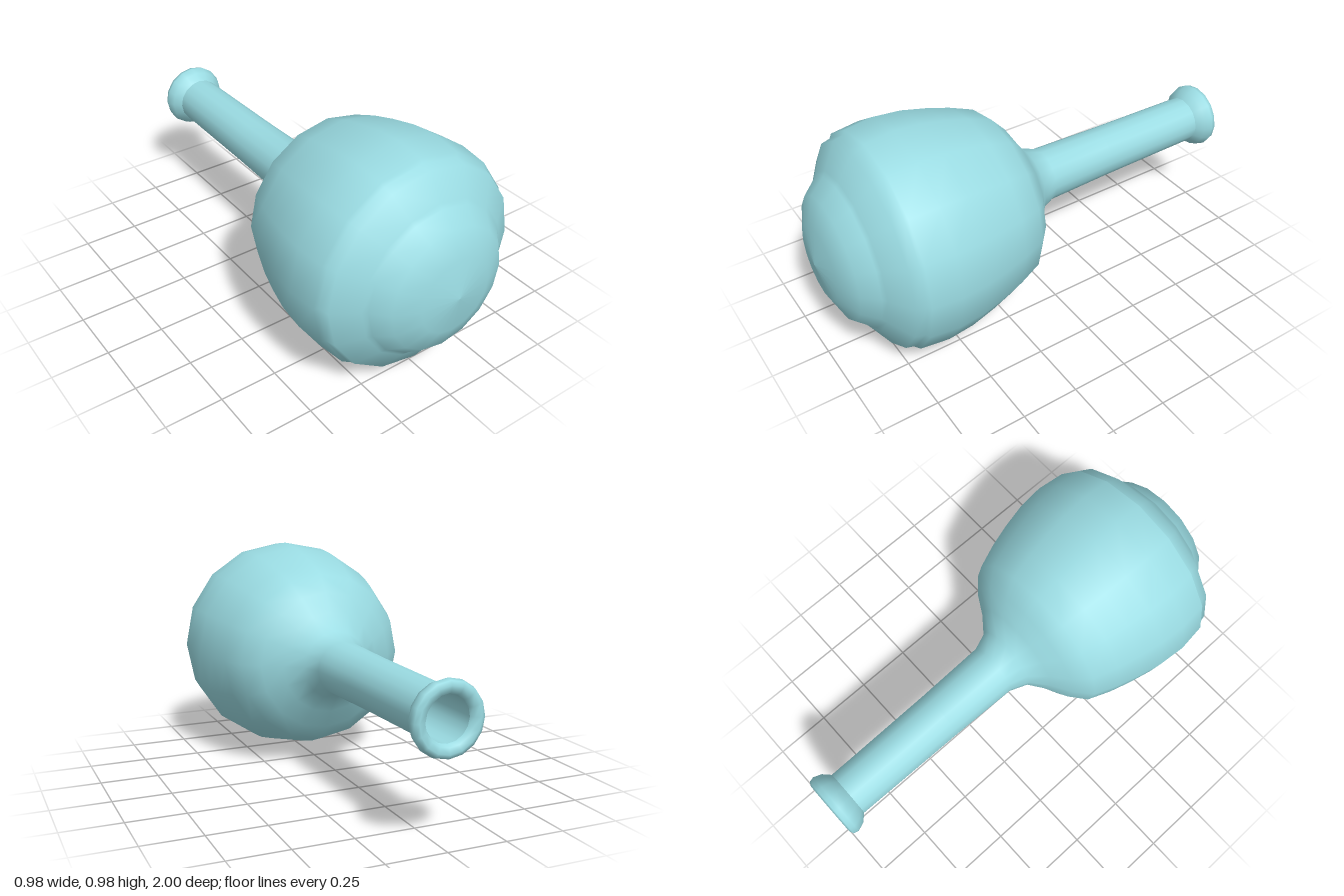
import * as THREE from 'three';

const SIDES = 16;
const AXIS_HEIGHT = 0.49;

// Revolves [radius, z] pairs about the long axis; the neck points to -z.
function revolve(name, profile, material) {
  const points = profile.map(([r, z]) => new THREE.Vector2(r, -z));
  const geometry = new THREE.LatheGeometry(points, SIDES);
  geometry.rotateX(-Math.PI / 2);
  const mesh = new THREE.Mesh(geometry, material);
  mesh.name = name;
  return mesh;
}

export function createModel() {
  const glass = new THREE.MeshStandardMaterial({ color: 0x9adbe2 });
  glass.name = 'paleBlueGlass';

  const flask = new THREE.Group();
  flask.name = 'flask';
  flask.position.y = AXIS_HEIGHT;

  // Rounded bottom, stepped shoulder, bulb and tapering neck
  const outer = [
    [0, 0.995], [0.165, 0.972], [0.27, 0.927], [0.325, 0.862], [0.345, 0.848],
    [0.447, 0.782], [0.457, 0.738], [0.474, 0.728], [0.488, 0.6],
    [0.477, 0.48], [0.452, 0.37], [0.423, 0.27], [0.382, 0.165],
    [0.31, 0.1], [0.225, 0.05], [0.15, -0.01], [0.119, -0.09],
    [0.111, -0.4], [0.105, -0.905],
  ];
  flask.add(revolve('bulbAndNeck', outer, glass));

  // Flared lip turning in to the mouth
  const lip = [
    [0.105, -0.905], [0.135, -0.935], [0.148, -0.97], [0.142, -0.992],
    [0.125, -1], [0.1, -0.995], [0.09, -0.975],
  ];
  flask.add(revolve('lip', lip, glass));

  // Hollow inside, running from the mouth to the bottom
  const inner = [
    [0.09, -0.975], [0.095, -0.4], [0.105, -0.09], [0.135, 0], [0.21, 0.06],
    [0.295, 0.11], [0.365, 0.175], [0.435, 0.37], [0.47, 0.6],
    [0.43, 0.76], [0.315, 0.84], [0.255, 0.905], [0.155, 0.95], [0, 0.975],
  ];
  flask.add(revolve('innerWall', inner, glass));

  const model = new THREE.Group();
  model.name = 'model';
  model.add(flask);
  return model;
}
